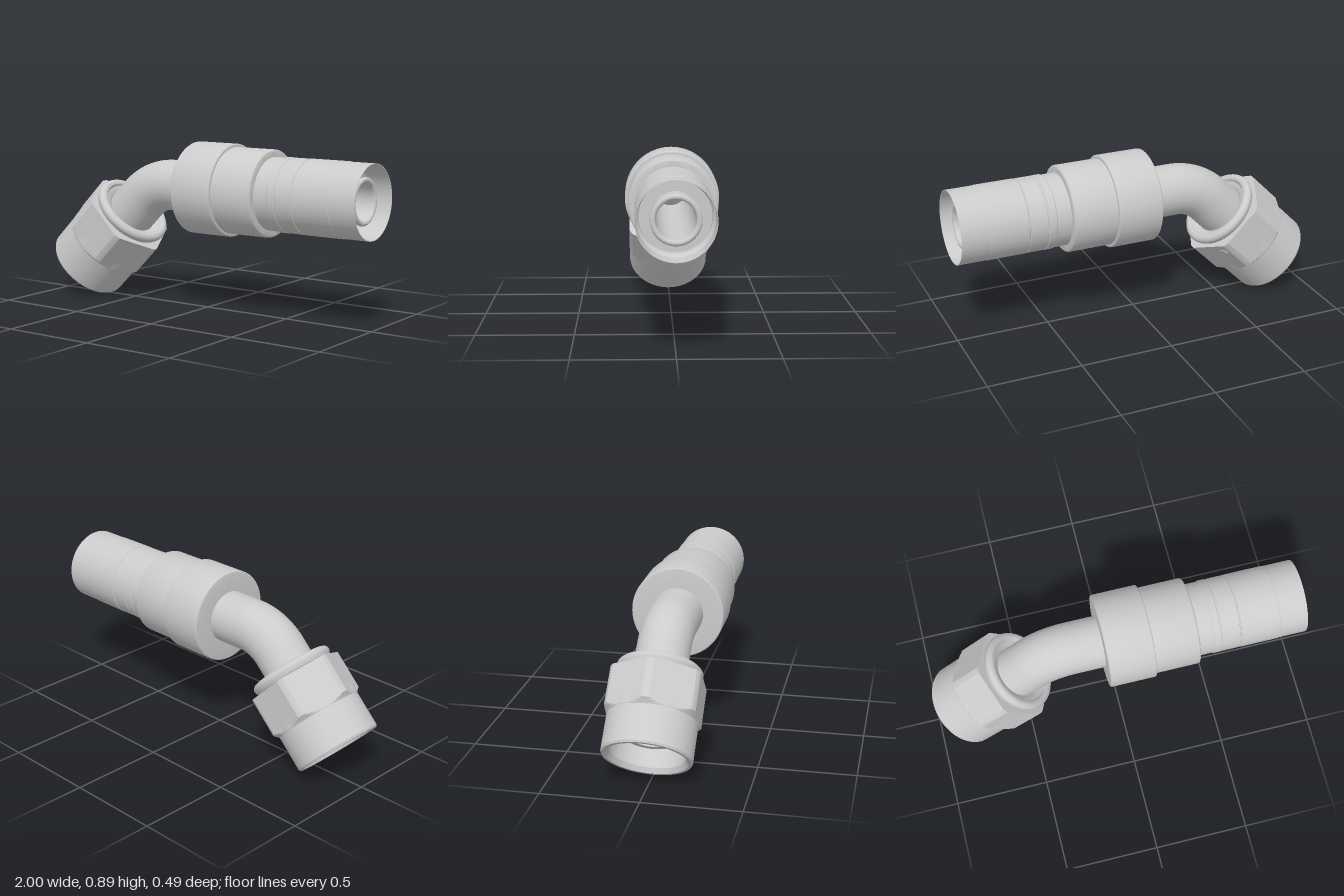
import * as THREE from 'three';
import { toCreasedNormals } from 'three/addons/utils/BufferGeometryUtils.js';

const AXIS_Y = 0.655;                       // height of the straight hose axis
const NUT = new THREE.Vector2(-0.843, 0.163); // centre of the nut's open end
const PIPE_R = 0.137, BORE_R = 0.095;
const material = new THREE.MeshStandardMaterial({ color: 0xcccccc, side: THREE.DoubleSide });

function mesh(name, geometry) {
  const m = new THREE.Mesh(geometry, material);
  m.name = name;
  return m;
}

// Turned part from [radius, position along axis] pairs
function turned(name, profile) {
  const pts = profile.map(([r, s]) => new THREE.Vector2(r, s));
  return mesh(name, toCreasedNormals(new THREE.LatheGeometry(pts, 80), 0.55));
}

// Semicircular (or partial) arc of profile points
function arc(r, s, radius, from, to, steps = 8) {
  return Array.from({ length: steps + 1 }, (_, i) => {
    const a = from + (to - from) * i / steps;
    return [r + radius * Math.cos(a), s + radius * Math.sin(a)];
  });
}

// Centre line of the pipe: nut leg, 45 degree bend, straight leg
function pipePath(startS, endX) {
  const d = Math.SQRT1_2, R = 0.3, t = R * Math.tan(Math.PI / 8);
  const k = 4 / 3 * Math.tan(Math.PI / 16) * R;
  const v = (x, y) => new THREE.Vector3(x, y, 0);
  const cornerX = NUT.x + AXIS_Y - NUT.y;
  const a = v(cornerX - t * d, AXIS_Y - t * d), b = v(cornerX + t, AXIS_Y);
  const path = new THREE.CurvePath();
  path.add(new THREE.LineCurve3(v(NUT.x + startS * d, NUT.y + startS * d), a));
  path.add(new THREE.CubicBezierCurve3(a, v(a.x + k * d, a.y + k * d), v(b.x - k, b.y), b));
  path.add(new THREE.LineCurve3(b, v(endX, AXIS_Y)));
  return path;
}

// Nut outside: round skirt blending into a hexagon with turned corners
function nutShell() {
  const levels = [0, 0.01, 0.185, 0.198, 0.205, 0.213, 0.222, 0.235, 0.25, 0.262, 0.275, 0.29, 0.35, 0.43];
  const N = 180, flat = 0.2275, lerp = THREE.MathUtils.mapLinear;
  const pos = [], index = [];
  levels.forEach((s, j) => {
    const skirt = s < 0.01 ? 0.222 : s < 0.2 ? 0.228 : lerp(Math.min(s, 0.29), 0.2, 0.29, 0.2305, 0.226);
    const limit = s < 0.198 ? 0 : Math.min(0.254, lerp(s, 0.198, 0.222, 0.226, 0.254));
    for (let i = 0; i <= N; i++) {
      const a = i / N * Math.PI * 2;
      const off = (a % (Math.PI / 3)) - Math.PI / 6; // angle from the flat's middle
      const r = Math.max(skirt, Math.min(flat / Math.cos(off), limit));
      pos.push(r * Math.cos(a), s, r * Math.sin(a));
      if (j && i) {
        const q = j * (N + 1) + i, p = q - N - 1;
        index.push(p - 1, q - 1, p, p, q - 1, q);
      }
    }
  });
  // flat top face closing in to the collar
  const top = (levels.length - 1) * (N + 1), base = pos.length / 3;
  for (let i = 0; i <= N; i++) {
    const a = i / N * Math.PI * 2;
    pos.push(0.2 * Math.cos(a), 0.43, 0.2 * Math.sin(a));
    if (i) index.push(top + i - 1, base + i - 1, top + i, top + i, base + i - 1, base + i);
  }
  const g = new THREE.BufferGeometry();
  g.setAttribute('position', new THREE.Float32BufferAttribute(pos, 3));
  g.setIndex(index);
  return toCreasedNormals(g, 0.3);
}

export function createModel() {
  const model = new THREE.Group();
  model.name = 'angledHoseFitting';

  // Bent pipe and its bore
  const pipe = new THREE.Group();
  pipe.name = 'bentPipe';
  pipe.add(mesh('pipeOutside', new THREE.TubeGeometry(pipePath(0.14, 0), 80, PIPE_R, 64)));
  pipe.add(mesh('pipeBore', new THREE.TubeGeometry(pipePath(0.1, 0.94), 110, BORE_R, 48)));
  model.add(pipe);

  // Swivel nut, built upright then tilted onto the bent leg
  const nut = new THREE.Group();
  nut.name = 'swivelNut';
  nut.add(mesh('hexNut', nutShell()));
  nut.add(turned('nutSocket', [[PIPE_R, 0.3], [0.19, 0.3], [0.19, 0.025], [0.207, 0], [0.222, 0]]));
  nut.add(turned('pipeNose', [[BORE_R, 0.1], [0.125, 0.1], [PIPE_R, 0.14]]));
  nut.add(turned('nutCollar', [
    [0.2, 0.43], [0.21, 0.437],
    ...arc(0.194, 0.463, 0.026, -0.7, Math.PI / 2 + 0.6, 10),
    [0.172, 0.472], [0.15, 0.466], [PIPE_R, 0.455]]));
  // small diamond mark on one flat
  const mark = mesh('diamondMark', toCreasedNormals(new THREE.CylinderGeometry(0.02, 0.03, 0.008, 4), 0.1));
  const out = new THREE.Vector3(Math.cos(Math.PI / 6), 0, -0.5);
  mark.quaternion.setFromUnitVectors(new THREE.Vector3(0, 1, 0), out);
  mark.position.set(0.161, 0.374, -0.176);
  nut.add(mark);
  nut.position.set(NUT.x, NUT.y, 0);
  nut.rotation.z = -Math.PI / 4;
  model.add(nut);

  // Straight end, turned along x
  const straight = new THREE.Group();
  straight.name = 'hoseEnd';
  straight.add(turned('collar', [
    [PIPE_R - 0.01, -0.068], [0.238, -0.068], ...arc(0.238, -0.06, 0.008, -Math.PI / 2, 0, 4),
    ...arc(0.238, 0.17, 0.008, 0, Math.PI / 2, 4), [0.229, 0.178],
    ...arc(0.217, 0.405, 0.012, 0, Math.PI / 2, 5), [0.188, 0.417]]));
  straight.add(turned('sleeve', [
    [0.191, 0.41], [0.191, 0.495], [0.195, 0.499], [0.195, 0.535], [0.191, 0.538], [0.191, 0.543],
    [0.194, 0.546], [0.194, 0.637], [0.19, 0.639], [0.19, 0.643], [0.195, 0.646], [0.195, 0.85],
    [0.193, 0.853], [0.193, 1], [0.19, 1], [0.19, 0.87], [0.176, 0.85], [0.176, 0.8], [0.11, 0.8]]));
  straight.add(turned('innerTube', [
    [0.117, 0.8], [0.117, 0.925], ...arc(0.109, 0.945, 0.014, -0.9, Math.PI, 12), [BORE_R, 0.93]]));
  straight.position.y = AXIS_Y;
  straight.rotation.z = -Math.PI / 2;
  model.add(straight);

  return model;
}
